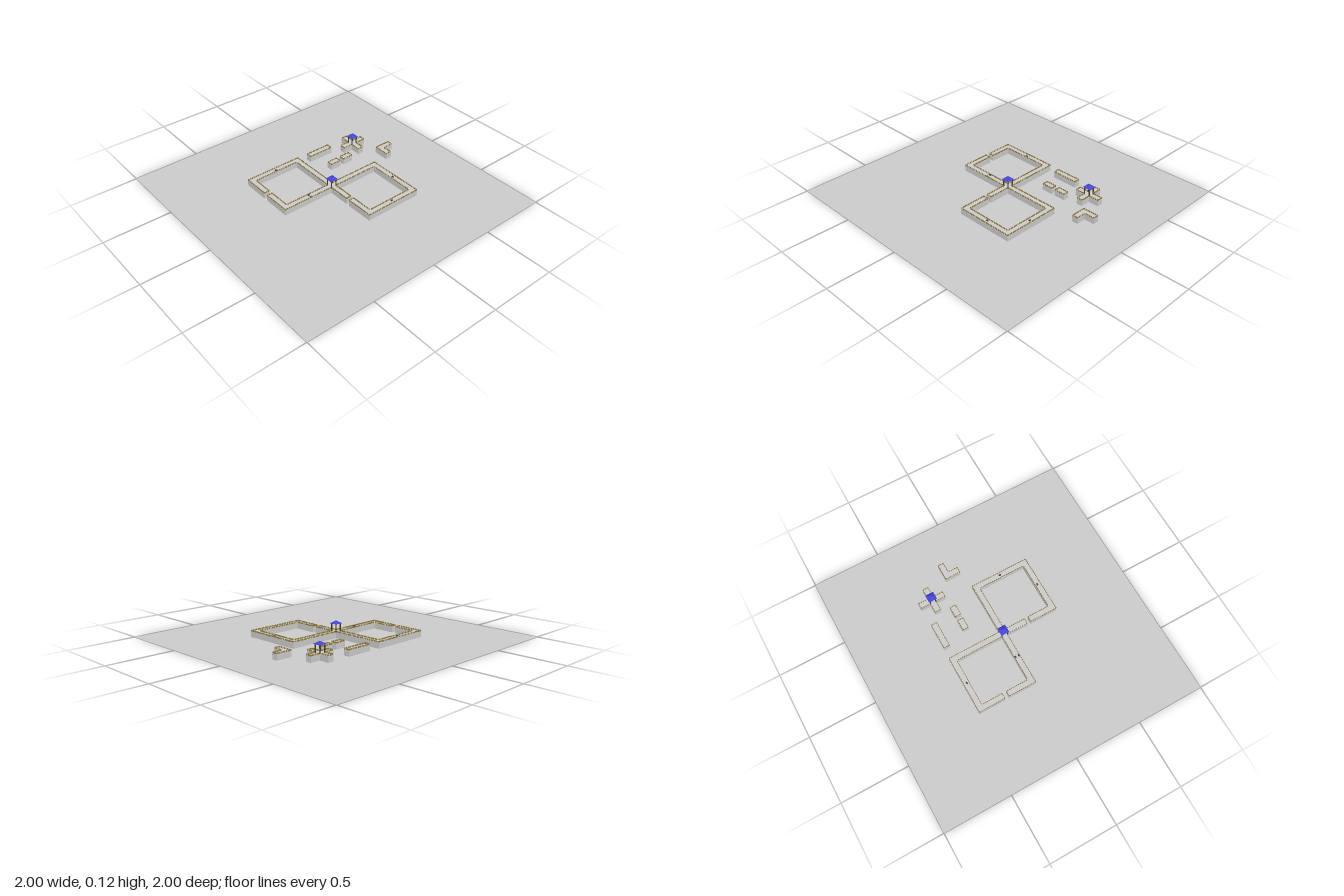
import * as THREE from 'three';
import { mergeGeometries } from 'three/addons/utils/BufferGeometryUtils.js';

const WALL_H = 0.042, MERLON_H = 0.01, ROOF_Y = 0.1;

const mat = (color) => new THREE.MeshStandardMaterial({ color, flatShading: true });
const stone = mat(0xcccccc), tan = mat(0x97803f), wood = mat(0x4d3a1e), blue = mat(0x4444dd), dark = mat(0x444444);

// Wall footprints: x0, z0, x1, z1
const walls = {
  fortWalls: [
    [-0.022, -0.422, 0.022, 0.422],
    [0.022, -0.422, 0.422, -0.378],
    [0.378, -0.378, 0.422, 0.022],
    [0.022, -0.022, 0.185, 0.022],
    [0.21, -0.022, 0.378, 0.022],
    [-0.422, -0.022, -0.022, 0.022],
    [-0.422, 0.022, -0.378, 0.422],
    [-0.378, 0.378, -0.22, 0.422],
    [-0.19, 0.378, -0.022, 0.422],
  ],
  crossWalls: [
    [-0.42, -0.489, -0.225, -0.443],
    [-0.346, -0.567, -0.3, -0.489],
    [-0.346, -0.443, -0.3, -0.37],
  ],
  cornerWall: [
    [-0.16, -0.684, -0.116, -0.56],
    [-0.116, -0.606, -0.042, -0.56],
  ],
  longWall: [[-0.416, -0.3, -0.37, -0.102]],
  shortWalls: [
    [-0.238, -0.354, -0.192, -0.27],
    [-0.238, -0.24, -0.192, -0.156],
  ],
};

// Box standing on height y
function block(w, h, d, x, y, z) {
  return new THREE.BoxGeometry(w, h, d).translate(x, y + h / 2, z);
}

function addMesh(parent, name, geometry, material) {
  const mesh = new THREE.Mesh(geometry, material);
  mesh.name = name;
  parent.add(mesh);
  return mesh;
}

// Merlons along the outer outline of a group of joined footprints
function merlons(rects) {
  const parts = [], t = 0.004, step = 0.016;
  const covered = (x, z) => rects.some(([a, b, c, d]) => x > a && x < c && z > b && z < d);
  for (const [x0, z0, x1, z1] of rects) {
    for (const [length, alongX] of [[x1 - x0, true], [z1 - z0, false]]) {
      const n = Math.max(2, Math.round(length / step)), pitch = length / n;
      for (let i = 0; i < n; i++) {
        for (const side of [-1, 1]) {
          const s = (i + 0.5) * pitch;
          const edge = alongX ? (side < 0 ? z0 : z1) : (side < 0 ? x0 : x1);
          const x = alongX ? x0 + s : edge, z = alongX ? edge : z0 + s;
          if (covered(x + (alongX ? 0 : side * 0.003), z + (alongX ? side * 0.003 : 0))) continue;
          const inset = -side * t / 2;
          parts.push(alongX
            ? block(pitch * 0.6, MERLON_H, t, x, WALL_H, z + inset)
            : block(t, MERLON_H, pitch * 0.6, x + inset, WALL_H, z));
        }
      }
    }
  }
  return mergeGeometries(parts);
}

// Open lookout: four posts under a square pyramid roof
function lookout(x, z) {
  const tower = new THREE.Group();
  tower.name = 'lookoutTower';
  const posts = [];
  for (const sx of [-1, 1]) for (const sz of [-1, 1]) {
    posts.push(block(0.006, ROOF_Y - WALL_H, 0.006, sx * 0.021, WALL_H, sz * 0.021));
  }
  addMesh(tower, 'posts', mergeGeometries(posts), wood);
  const roof = new THREE.ConeGeometry(0.031 * Math.SQRT2, 0.02, 4).rotateY(Math.PI / 4);
  addMesh(tower, 'roof', roof, blue).position.y = ROOF_Y + 0.01;
  tower.position.set(x, 0, z);
  return tower;
}

export function createModel() {
  const model = new THREE.Group();
  model.name = 'fortRuins';

  // Ground sheet
  const groundMat = mat(0xcccccc);
  groundMat.side = THREE.DoubleSide;
  addMesh(model, 'ground', new THREE.PlaneGeometry(2, 2).rotateX(-Math.PI / 2), groundMat);

  // Walls with their battlements
  for (const [name, rects] of Object.entries(walls)) {
    const group = new THREE.Group();
    group.name = name;
    const bodies = rects.map(([x0, z0, x1, z1]) =>
      block(x1 - x0, WALL_H, z1 - z0, (x0 + x1) / 2, 0, (z0 + z1) / 2));
    addMesh(group, 'wallBody', mergeGeometries(bodies), stone);
    addMesh(group, 'battlements', merlons(rects), tan);
    model.add(group);
  }

  // Lookouts on the two wall crossings
  model.add(lookout(0, 0), lookout(-0.323, -0.466));

  // Small hatches on the walkways
  const hatches = [[0.197, -0.4, 0.016, 0.01], [0.395, -0.205, 0.01, 0.016], [-0.396, 0.196, 0.01, 0.016],
    [-0.013, 0.196, 0.01, 0.016], [0.013, 0.196, 0.01, 0.016]];
  addMesh(model, 'hatches', mergeGeometries(
    hatches.map(([x, z, w, d]) => block(w, 0.006, d, x, WALL_H, z))), dark);

  return model;
}
